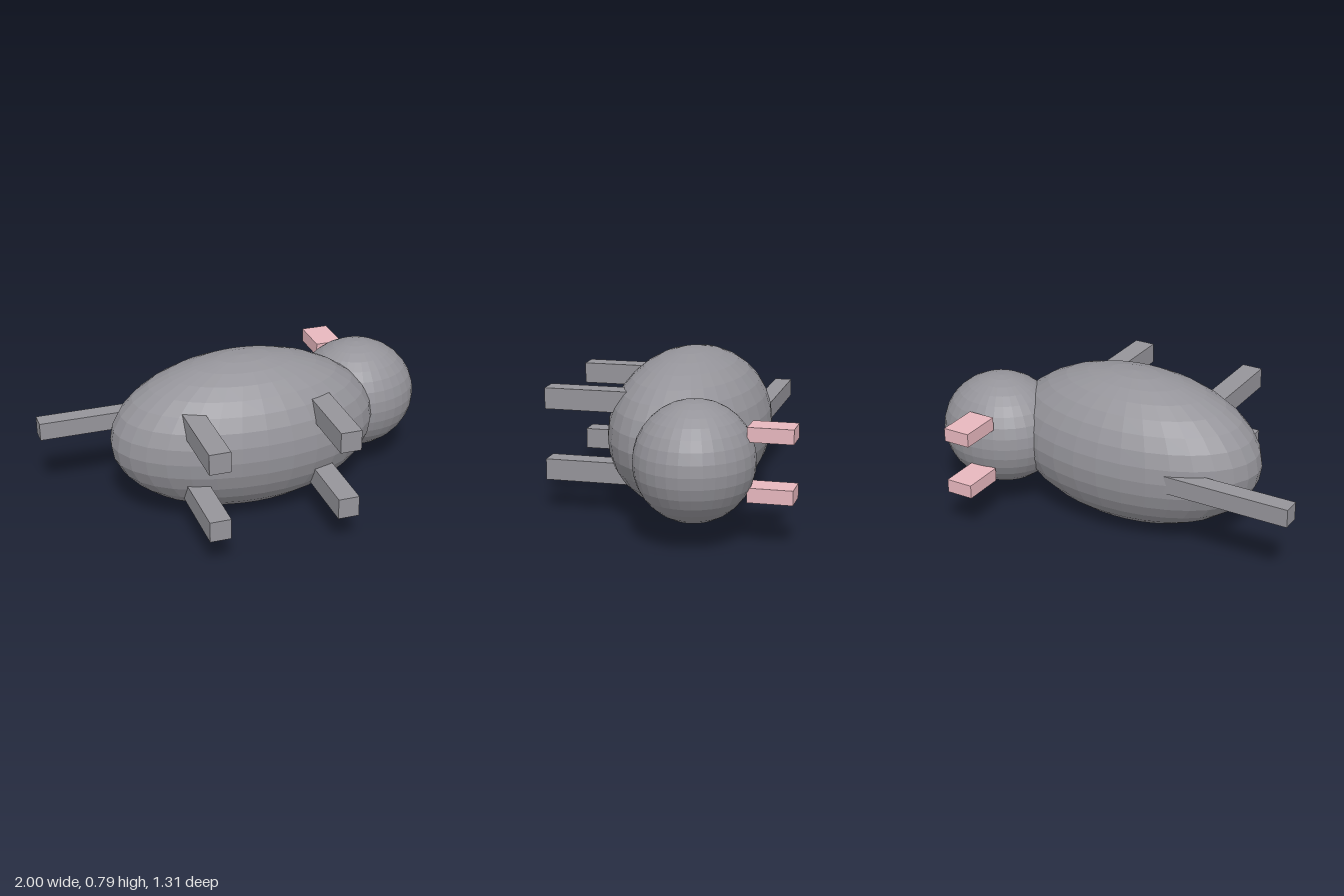
import * as THREE from 'three';

export function createModel() {
  const group = new THREE.Group();
  const grey = new THREE.MeshStandardMaterial({ color: 0x95949a, flatShading: true });
  const pink = new THREE.MeshStandardMaterial({ color: 0xe7b7be, flatShading: true });

  function add(name, geometry, material, x, y, z) {
    const mesh = new THREE.Mesh(geometry, material);
    mesh.name = name;
    mesh.position.set(x, y, z);
    group.add(mesh);
  }

  // faceted ellipsoid with its poles along y
  const ellipsoid = (rx, ry, rz) => new THREE.SphereGeometry(1, 32, 16).scale(rx, ry, rz);

  add('body', ellipsoid(0.69, 0.396, 0.395), grey, -0.002, 0.398, -0.004);
  add('head', ellipsoid(0.315, 0.288, 0.287), grey, 0.685, 0.398, -0.186);

  // four legs reaching forward out of the body
  const leg = new THREE.BoxGeometry(0.107, 0.106, 0.43);
  for (const x of [-0.336, 0.315]) {
    for (const side of [-1, 1]) add('leg', leg, grey, x, 0.398 + side * 0.181, 0.437);
  }

  // two pink ears on the back of the head
  const ear = new THREE.BoxGeometry(0.14, 0.07, 0.216);
  for (const side of [-1, 1]) add('ear', ear, pink, 0.637, 0.398 + side * 0.143, -0.545);

  // straight tail
  add('tail', new THREE.BoxGeometry(0.72, 0.092, 0.09), grey, -0.64, 0.4, -0.294);

  return group;
}
